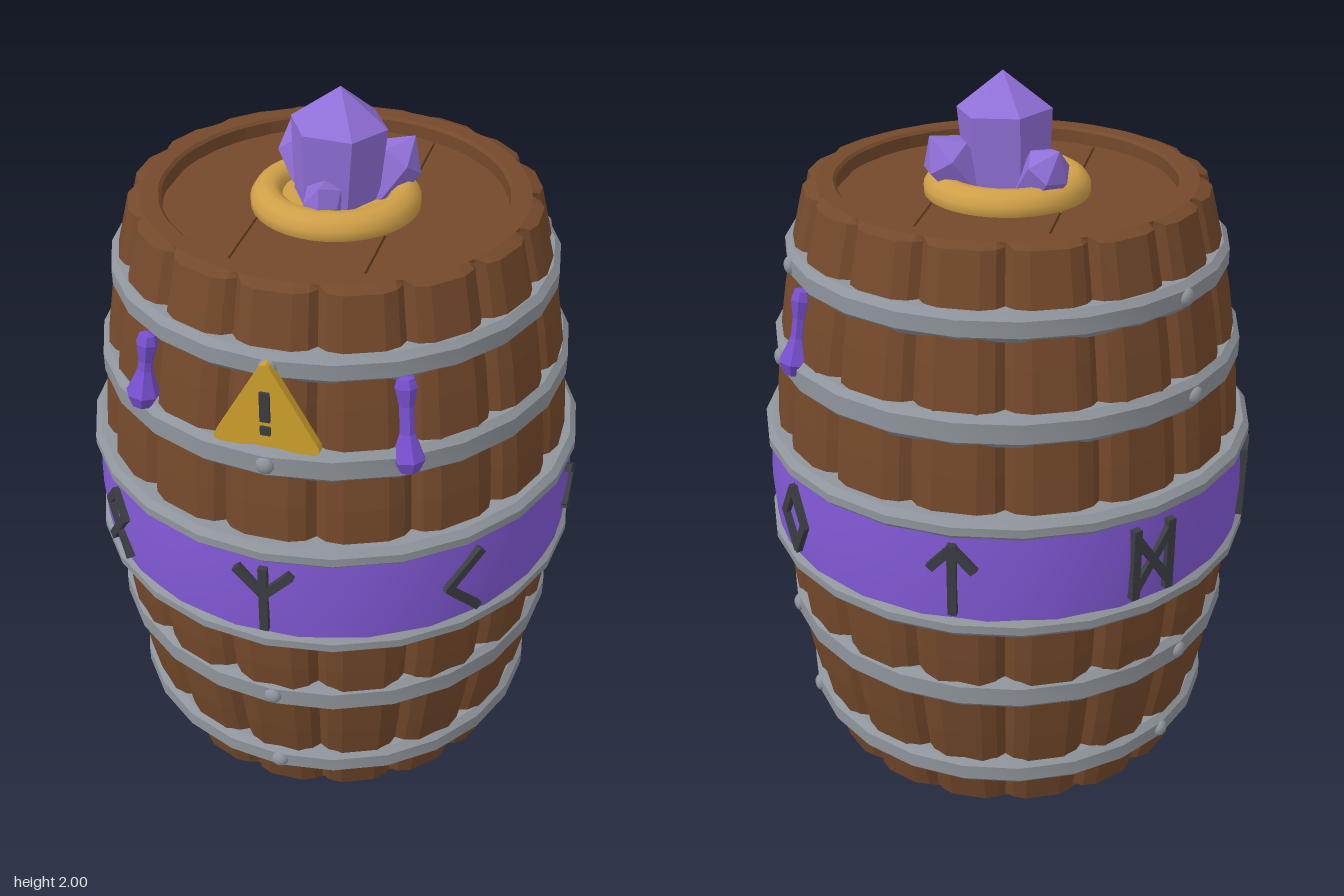
import * as THREE from 'three';
import { toCreasedNormals } from 'three/addons/utils/BufferGeometryUtils.js';

const mat = (name, color, extra = {}) => {
  const m = new THREE.MeshStandardMaterial({ color, ...extra });
  m.name = name;
  return m;
};

export function createModel() {
  const wood = mat('wood', 0x74492b, { flatShading: true });
  const woodDark = mat('darkWood', 0x3f2817);
  const iron = mat('iron', 0x8f959c);
  const purple = mat('purpleBand', 0x8259d6);
  const slime = mat('purpleDrip', 0x7850d0, { flatShading: true });
  const crystalMat = mat('crystal', 0x9070d8, { flatShading: true });
  const gold = mat('gold', 0xd0a048);
  const signGold = mat('signYellow', 0xd0a02c);
  const dark = mat('darkGrey', 0x3a3d42);

  const root = new THREE.Group();
  const add = (name, geo, material, parent = root) => {
    const m = new THREE.Mesh(geo, material);
    m.name = name;
    parent.add(m);
    return m;
  };
  // group turned about the barrel axis; its +z points outward
  const spoke = (name, degrees) => {
    const g = new THREE.Group();
    g.name = name;
    g.rotation.y = THREE.MathUtils.degToRad(degrees);
    root.add(g);
    return g;
  };
  const lathe = (pts, seg) => new THREE.LatheGeometry(pts.map(p => new THREE.Vector2(...p)), seg);

  // staves: grooved rings swept up a bulging profile, closed by the two rims
  const STAVES = 16, H = 1.72, MID = H / 2;
  const bulge = y => 0.545 + 0.12 * (1 - ((y - MID) / MID) ** 2);
  const rows = [[0.46, 0.055, 0], [0.46, 0.008, 0], [0.468, 0, 0], [0.515, 0, 0]];
  for (let i = 0; i <= 12; i++) {
    const y = 0.012 + (H - 0.024) * i / 12;
    rows.push([bulge(y), y, 1]);
  }
  rows.push([0.515, H, 0], [0.468, H, 0], [0.46, H - 0.008, 0], [0.46, H - 0.055, 0]);
  const section = [[-1, 0.032], [-0.8, 0.012], [-0.45, 0], [0.45, 0], [0.8, 0.012]];
  const pos = [], index = [], n = STAVES * section.length;
  for (const [r, y, groove] of rows) {
    for (let s = 0; s < STAVES; s++) {
      for (const [f, drop] of section) {
        const a = (s + f / 2) * Math.PI * 2 / STAVES, rr = r - drop * groove;
        pos.push(rr * Math.sin(a), y, rr * Math.cos(a));
      }
    }
  }
  for (let i = 0; i < rows.length - 1; i++) {
    for (let j = 0; j < n; j++) {
      const a = i * n + j, b = i * n + (j + 1) % n;
      index.push(a, b, a + n, b, b + n, a + n);
    }
  }
  const staves = new THREE.BufferGeometry();
  staves.setAttribute('position', new THREE.Float32BufferAttribute(pos, 3));
  staves.setIndex(index);
  staves.computeVertexNormals();
  add('staves', staves, wood);

  // planked heads at both ends, with dark seams between the planks
  const plank = (x0, x1) => {
    const pts = [], R = 0.462, h = x => Math.sqrt(Math.max(0, R * R - x * x));
    for (let i = 0; i <= 12; i++) { const x = x0 + (x1 - x0) * i / 12; pts.push(new THREE.Vector2(x, -h(x))); }
    for (let i = 12; i >= 0; i--) { const x = x0 + (x1 - x0) * i / 12; pts.push(new THREE.Vector2(x, h(x))); }
    return new THREE.ExtrudeGeometry(new THREE.Shape(pts), { depth: 0.02, bevelEnabled: false }).rotateX(-Math.PI / 2);
  };
  for (const y of [0.045, H - 0.065]) {
    for (const [x0, x1] of [[-0.455, -0.176], [-0.17, 0.17], [0.176, 0.455]]) {
      add('headPlank', plank(x0, x1), wood).position.y = y;
    }
    add('headSeam', new THREE.CylinderGeometry(0.465, 0.465, 0.008, 48), woodDark).position.y = y + 0.01;
  }

  // iron hoops with bevelled edges: centre height, height, radius
  const hoops = [[1.53, 0.08, 0.607], [1.27, 0.09, 0.651], [1.013, 0.06, 0.697],
    [0.715, 0.06, 0.697], [0.463, 0.09, 0.651], [0.155, 0.08, 0.607]];
  for (const [y, h, r] of hoops) {
    const k = h / 2, geo = lathe([[r - 0.07, y - k], [r - 0.017, y - k], [r, y - k + 0.018],
      [r, y + k - 0.018], [r - 0.017, y + k], [r - 0.07, y + k]], 24);
    add('hoop', toCreasedNormals(geo, 0.5), iron);
    if (h < 0.07) continue;
    for (const a of [0, 120, 240]) {
      const rivet = add('rivet', new THREE.SphereGeometry(0.025, 10, 8), iron, spoke('rivetMount', a));
      rivet.position.set(0, y, r - 0.004);
      rivet.scale.z = 0.7;
    }
  }

  // purple band
  add('purpleBand', lathe([[0.682, 0.735], [0.689, 0.865], [0.682, 0.995]], 48), purple);

  // carved signs around the band, each a list of polylines
  const signs = [
    [[[0, -0.1], [0, 0.1]], [[-0.07, 0.09], [0, 0.015], [0.07, 0.09]]],
    [[[0.045, 0.095], [-0.05, 0], [0.045, -0.095]]],
    [[[-0.045, 0.095], [0.05, 0.03], [-0.05, -0.03], [0.04, -0.095]]],
    [[[0, 0.095], [0.055, 0], [0, -0.095], [-0.055, 0], [0, 0.095]]],
    [[[0, -0.1], [0, 0.1]], [[-0.055, 0.035], [0, 0.095], [0.055, 0.035]]],
    [[[-0.055, -0.1], [-0.055, 0.1]], [[0.055, -0.1], [0.055, 0.1]],
      [[-0.055, 0.08], [0.055, -0.08]], [[-0.055, -0.08], [0.055, 0.08]]],
    [[[-0.035, -0.1], [-0.035, 0.1]], [[-0.035, 0.025], [0.05, 0.095]], [[-0.035, -0.04], [0.05, 0.03]]],
    [[[-0.055, -0.095], [0.05, 0.035], [0, 0.095], [-0.05, 0.035], [0.055, -0.095]]],
  ];
  signs.forEach((lines, i) => {
    const g = spoke('carvedSign', i * 45);
    for (const line of lines) {
      for (let j = 1; j < line.length; j++) {
        const [x0, y0] = line[j - 1], [x1, y1] = line[j];
        const len = Math.hypot(x1 - x0, y1 - y0) + 0.012;
        const s = add('signStroke', new THREE.BoxGeometry(len, 0.024, 0.026), dark, g);
        s.position.set((x0 + x1) / 2, 0.865 + (y0 + y1) / 2, 0.687);
        s.rotation.z = Math.atan2(y1 - y0, x1 - x0);
      }
    }
  });

  // slime drips: angle, bottom height, length
  for (const [a, y, len] of [[-35, 1.295, 0.215], [32, 1.245, 0.265], [130.5, 1.265, 0.245]]) {
    const geo = lathe([[0, 0], [0.028, 0.008], [0.045, 0.042], [0.032, 0.075], [0.02, 0.11],
      [0.019, len - 0.08], [0.029, len - 0.03], [0.022, len - 0.005], [0, len]], 7);
    const drip = add('drip', geo, slime, spoke('dripMount', a));
    drip.position.set(0, y, 0.645);
    drip.rotation.x = -0.17;
  }

  // warning plate: rounded triangle with a dark mark
  const corners = [[-0.148, 1.31], [0.148, 1.31], [0, 1.57]].map(c => new THREE.Vector2(...c));
  const tri = new THREE.Shape();
  corners.forEach((c, i) => {
    const p = c.clone().lerp(corners[(i + 2) % 3], 0.12), q = c.clone().lerp(corners[(i + 1) % 3], 0.12);
    if (i) tri.lineTo(p.x, p.y); else tri.moveTo(p.x, p.y);
    tri.quadraticCurveTo(c.x, c.y, q.x, q.y);
  });
  tri.closePath();
  add('warningPlate', new THREE.ExtrudeGeometry(tri, { depth: 0.025, bevelEnabled: false, curveSegments: 5 }), signGold)
    .position.z = 0.605;
  add('warningBar', new THREE.BoxGeometry(0.026, 0.085, 0.009), dark).position.set(0, 1.435, 0.633);
  add('warningDot', new THREE.BoxGeometry(0.026, 0.024, 0.009), dark).position.set(0, 1.365, 0.633);

  // gold collar on the lid
  const collar = lathe([[0.215, 1.66], [0.226, 1.675], [0.226, 1.7], [0.212, 1.722], [0.19, 1.735],
    [0.165, 1.733], [0.148, 1.72], [0.142, 1.7], [0, 1.7]], 40);
  add('collar', toCreasedNormals(collar, 0.7), gold);

  // crystals: base, tip, radius, share of the length that is shaft, sides, twist
  const crystals = [
    [[0, 1.68, 0], [0.012, 2, 0], 0.13, 0.69, 6, Math.PI / 6],
    [[-0.07, 1.68, -0.055], [-0.165, 1.832, -0.135], 0.064, 0.66, 6, 0.2],
    [[0.08, 1.68, -0.04], [0.188, 1.842, -0.102], 0.072, 0.66, 6, 0.5],
    [[0, 1.685, 0.08], [0, 1.79, 0.166], 0.052, 0.62, 6, 0],
  ];
  for (const [b, t, r, share, sides, twist] of crystals) {
    const base = new THREE.Vector3(...b), axis = new THREE.Vector3(...t).sub(base), len = axis.length();
    const c = add('crystal', lathe([[r * 0.88, 0], [r, len * share], [0, len]], sides).rotateY(twist), crystalMat);
    c.position.copy(base);
    c.quaternion.setFromUnitVectors(new THREE.Vector3(0, 1, 0), axis.normalize());
  }
  return root;
}
